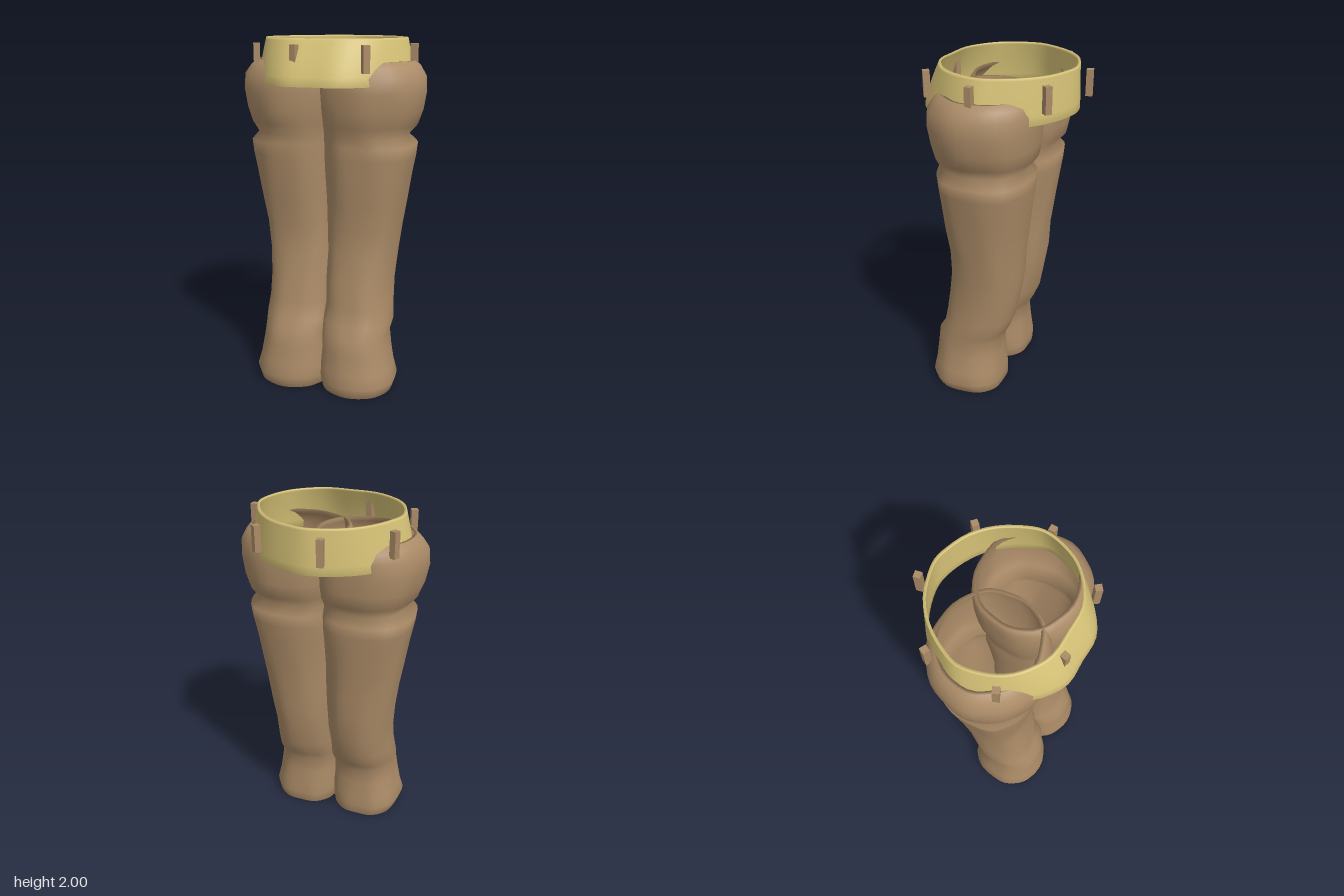
import * as THREE from 'three';

// Skin a list of rings (each a closed loop of points); outer rings run upward.
function loft(rings) {
  const n = rings[0].length, pos = [], idx = [];
  for (const ring of rings) for (const p of ring) pos.push(p[0], p[1], p[2]);
  for (let i = 0; i < rings.length; i++) {
    const k = (i + 1) % rings.length; // the last ring joins the first, closing the shell
    for (let j = 0; j < n; j++) {
      const m = (j + 1) % n;
      const a = i * n + j, b = i * n + m, c = k * n + j, d = k * n + m;
      idx.push(a, c, b, b, c, d);
    }
  }
  const g = new THREE.BufferGeometry();
  g.setAttribute('position', new THREE.Float32BufferAttribute(pos, 3));
  g.setIndex(idx);
  g.computeVertexNormals();
  return g;
}

// Leg cross-sections: height, inner x, outer x, back z, front z
const LEG = [
  [0.0, -0.01, 0.405, -0.06, 0.385],
  [0.06, -0.02, 0.425, -0.06, 0.395],
  [0.13, -0.02, 0.405, -0.055, 0.38],
  [0.24, -0.01, 0.385, -0.045, 0.365],
  [0.34, -0.01, 0.372, -0.045, 0.355],
  [0.4, -0.02, 0.382, -0.08, 0.315],
  [0.5, -0.01, 0.372, -0.12, 0.295],
  [0.64, -0.02, 0.37, -0.145, 0.275],
  [0.8, -0.02, 0.383, -0.17, 0.25],
  [0.95, -0.03, 0.402, -0.175, 0.245],
  [1.1, -0.03, 0.425, -0.195, 0.265],
  [1.25, -0.04, 0.448, -0.215, 0.28],
  [1.36, -0.05, 0.47, -0.23, 0.29],
  [1.43, -0.05, 0.478, -0.235, 0.295],
  [1.48, -0.05, 0.43, -0.195, 0.285],
  [1.54, -0.07, 0.48, -0.25, 0.315],
  [1.62, -0.09, 0.508, -0.262, 0.328],
  [1.72, -0.1, 0.525, -0.268, 0.338],
  [1.8, -0.1, 0.518, -0.266, 0.33],
  [1.85, -0.1, 0.485, -0.255, 0.3],
  [1.88, -0.09, 0.455, -0.235, 0.275],
];

function legRing([y, x0, x1, z0, z1], side, inset) {
  const ring = [], N = 40;
  const cx = (x0 + x1) / 2, a = (x1 - x0) / 2 - inset;
  const cz = (z0 + z1) / 2, b = (z1 - z0) / 2 - inset;
  const e = 2 / (y > 1.5 ? 2.05 : 2.3); // trouser legs are squarer than the hips
  const soft = (v) => Math.sign(v) * Math.abs(v) ** e;
  for (let j = 0; j < N; j++) {
    const t = side * (j / N) * Math.PI * 2;
    // gentle folds in the cloth
    const f = 1 + 0.012 * Math.sin(5 * t + 4 * y) + 0.008 * Math.sin(9 * t - 7 * y);
    ring.push([side * (cx + a * f * soft(Math.cos(t))), y, cz + b * f * soft(Math.sin(t))]);
  }
  return ring;
}

function legGeometry(side) {
  const outer = LEG.map((r) => legRing(r, side, 0));
  const inner = LEG.map((r) => legRing(r, side, 0.018)).reverse();
  return loft([...outer, ...inner]);
}

// Half outlines of the waistband seen from above: x, z from back to front
const BAND_TOP = [[0, -0.39], [0.08, -0.375], [0.2, -0.325], [0.3, -0.235], [0.375, -0.11],
  [0.402, -0.02], [0.38, 0.1], [0.33, 0.2], [0.25, 0.275], [0.14, 0.33], [0, 0.335]];
const BAND_BOTTOM = [[0, -0.395], [0.09, -0.38], [0.21, -0.33], [0.315, -0.25], [0.41, -0.11],
  [0.452, 0], [0.425, 0.12], [0.36, 0.24], [0.26, 0.36], [0.14, 0.43], [0, 0.432]];

function bandGeometry() {
  const outline = (half) => {
    const mirror = half.slice(1, -1).reverse().map(([x, z]) => [-x, z]);
    const pts = [...half, ...mirror].map(([x, z]) => new THREE.Vector3(x, 0, z));
    return new THREE.CatmullRomCurve3(pts, true);
  };
  const top = outline(BAND_TOP), bottom = outline(BAND_BOTTOM), N = 60;
  const ring = (v, scale) => Array.from({ length: N }, (_, j) => {
    const p = bottom.getPoint(j / N).lerp(top.getPoint(j / N), v ** 1.25);
    return [p.x * scale, 1.76 + 0.24 * v, p.z * scale];
  });
  const levels = [0, 0.2, 0.4, 0.6, 0.8, 0.95, 1];
  return loft([
    ...levels.map((v) => ring(v, 1)),
    ...levels.map((v) => ring(v, 0.965)).reverse(),
  ]);
}

export function createModel() {
  const model = new THREE.Group();
  model.name = 'trousers';
  const cloth = new THREE.MeshStandardMaterial({ color: 0xab8b67 });
  cloth.name = 'tan cloth';
  const gold = new THREE.MeshStandardMaterial({ color: 0xd8c478 });
  gold.name = 'pale gold';

  const add = (name, geometry, material) => {
    const mesh = new THREE.Mesh(geometry, material);
    mesh.name = name;
    model.add(mesh);
    return mesh;
  };

  // Legs with hips
  add('leftLeg', legGeometry(1), cloth);
  add('rightLeg', legGeometry(-1), cloth);

  // Waistband
  add('waistband', bandGeometry(), gold);

  // Seven belt loops spaced evenly around the waist
  const loopGeometry = new THREE.BoxGeometry(0.036, 0.14, 0.036);
  for (let i = 0; i < 7; i++) {
    const t = (i / 7) * Math.PI * 2;
    const z = i === 2 ? 0.372 : 0.435 * Math.sin(t);
    const loop = add('beltLoop' + (i + 1), loopGeometry, cloth);
    loop.position.set(0.445 * Math.cos(t), 1.9, z);
    loop.rotation.y = -t;
  }
  return model;
}
